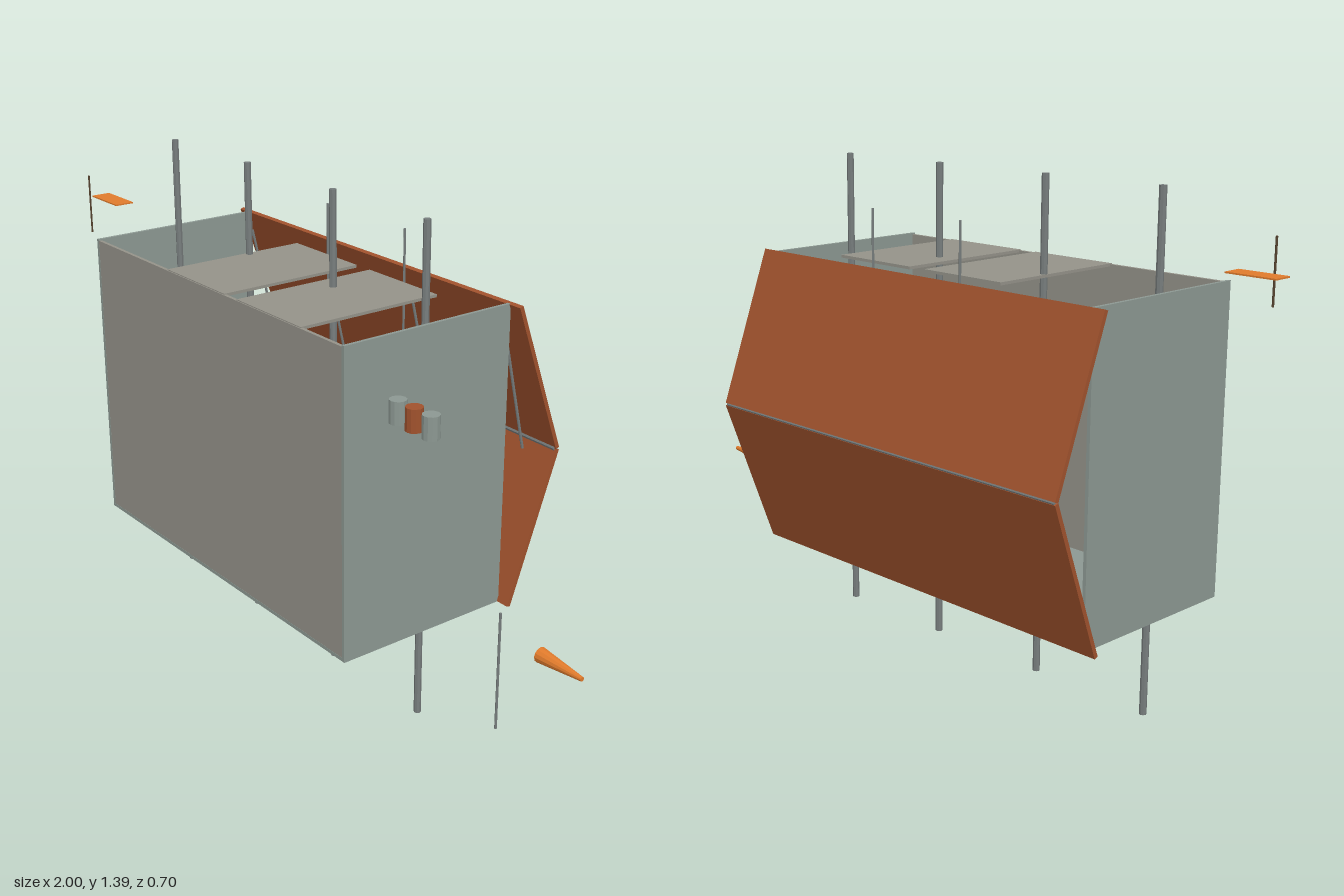
import * as THREE from 'three';

const mat = (color) => new THREE.MeshStandardMaterial({ color, flatShading: true });

export function createModel() {
  const group = new THREE.Group();
  const teal = mat(0x8c9892), tan = mat(0x949289), rust = mat(0xa0522d);
  const steel = mat(0x777d7d), orange = mat(0xe07b2c), dark = mat(0x55432f);

  const add = (name, geometry, material, x, y, z) => {
    const mesh = new THREE.Mesh(geometry, material);
    mesh.name = name;
    mesh.position.set(x, y, z);
    group.add(mesh);
    return mesh;
  };
  const box = (name, material, w, h, d, x, y, z) =>
    add(name, new THREE.BoxGeometry(w, h, d), material, x, y, z);
  // upright rod between two heights
  const rod = (name, material, r, x, y0, y1, z, sides = 8) =>
    add(name, new THREE.CylinderGeometry(r, r, y1 - y0, sides), material, x, (y0 + y1) / 2, z);

  const midX = -0.145, midY = 0.693, midZ = 0.083;

  // open-topped shell: floor, front wall, two side walls
  box('floor', teal, 1.19, 0.01, 0.537, midX, 0.267, midZ);
  box('frontWall', tan, 1.17, 0.855, 0.01, midX, midY, 0.346);
  for (const s of [-1, 1]) {
    box(s > 0 ? 'leftWall' : 'rightWall', teal, 0.01, 0.863, 0.537, midX + s * 0.59, midY, midZ);
  }

  // folded back panels meeting at a ridge
  const rise = 0.43, run = 0.158;
  for (const s of [-1, 1]) {
    const panel = box(s > 0 ? 'upperBackPanel' : 'lowerBackPanel', rust,
      1.27, Math.hypot(rise, run), 0.012, midX, midY + s * 0.217, -0.265);
    panel.rotation.x = s * Math.atan2(run, rise);
  }
  const rail = add('ridgeRail', new THREE.CylinderGeometry(0.008, 0.008, 1.26, 8), steel, midX, midY, -0.342);
  rail.rotation.z = Math.PI / 2;

  // tall posts, each with a slanted strut behind it
  for (const x of [-0.72, -0.34, 0.053, 0.43]) {
    rod('post', steel, 0.01, x, 0, 1.386, 0.084);
    const strut = rod('strut', steel, 0.004, x, 0, 0.384, 0);
    strut.position.set(x, 0.881, -0.227);
    strut.rotation.x = Math.atan2(0.087, 0.374);
  }

  // flat hatch panels with a thin stay at the back edge
  for (const x of [-0.21, 0.13]) {
    box('hatch', tan, 0.282, 0.008, 0.438, x, 1.119, 0.129);
    rod('hatchStay', steel, 0.0035, x, 0.97, 1.268, -0.096, 6);
  }

  // flag and its pole
  box('flag', orange, 0.146, 0.004, 0.058, -0.927, 1.181, 0.191);
  rod('flagPole', dark, 0.003, -0.926, 1.092, 1.266, 0.267, 6);

  // windsock and its pole
  const sock = add('windsock', new THREE.CylinderGeometry(0.006, 0.021, 0.143, 12), orange, 0.9285, 0.373, 0.057);
  sock.rotation.z = -Math.PI / 2;
  rod('windsockPole', steel, 0.0035, 0.851, 0.211, 0.533, 0.192, 6);

  // row of drums
  [teal, rust, teal].forEach((m, i) => rod('drum', m, 0.022, 0.62 + i * 0.059, 0.979, 1.038, 0.325, 12));

  return group;
}
